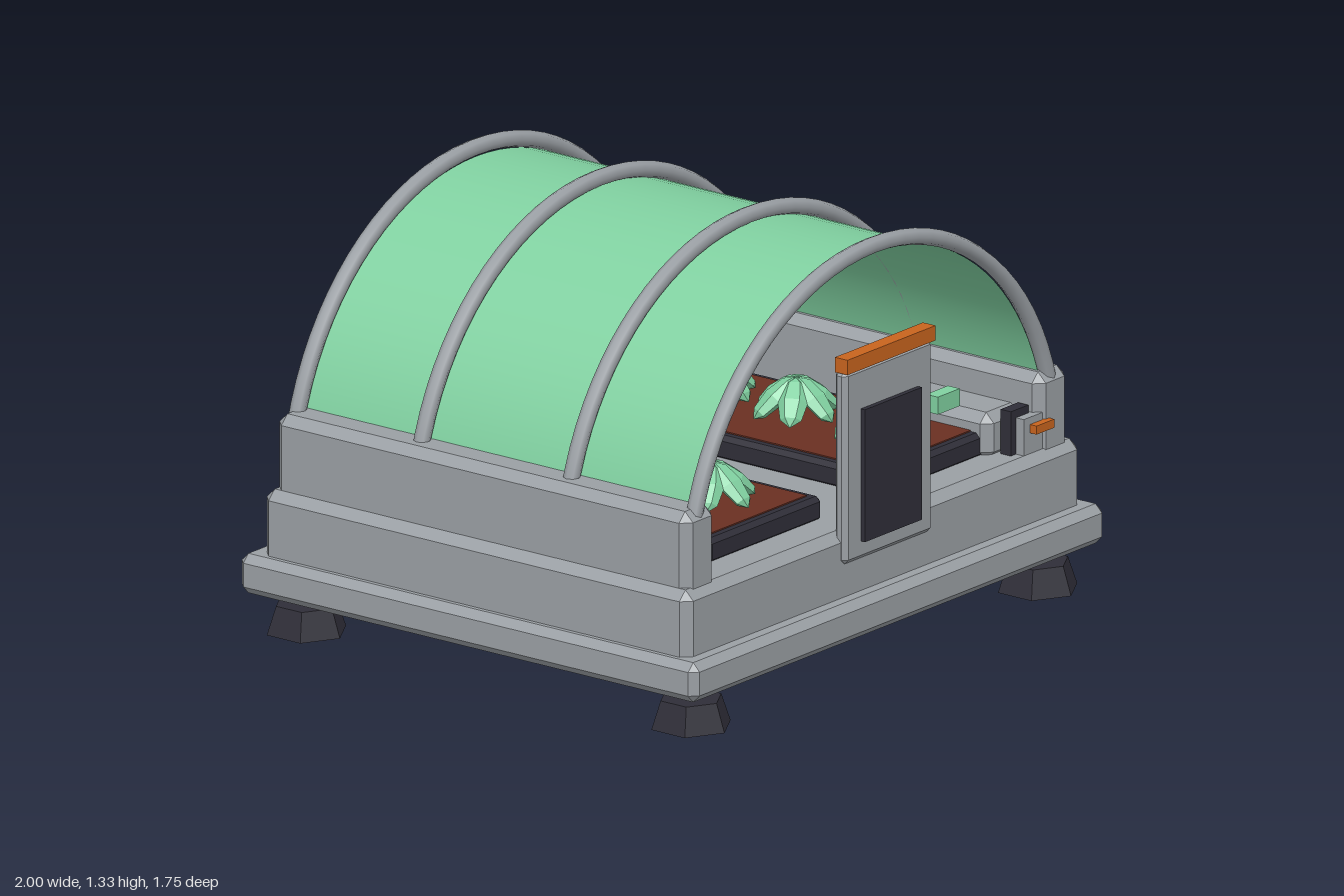
import * as THREE from 'three';
import { ConvexGeometry } from 'three/addons/geometries/ConvexGeometry.js';

const material = (name, color, extra = {}) => {
  const m = new THREE.MeshStandardMaterial({ color, ...extra });
  m.name = name;
  return m;
};

export function createModel() {
  const grey = material('grey metal', 0x9a9fa4);
  const dark = material('charcoal', 0x2f2e38);
  const green = material('green', 0x80d0a0, { side: THREE.DoubleSide });
  const leafGreen = material('leaf green', 0x80d0a0, { flatShading: true });
  const orange = material('orange', 0xc8641e);
  const soilBrown = material('soil brown', 0x6a3022);

  const model = new THREE.Group();
  model.name = 'greenhouse';

  const add = (name, geometry, mat, parent = model) => {
    const mesh = new THREE.Mesh(geometry, mat);
    mesh.name = name;
    parent.add(mesh);
    return mesh;
  };

  // Box given by its ranges, with all edges chamfered by c
  const box = (name, mat, [x0, x1], [y0, y1], [z0, z1], c = 0) => {
    const half = new THREE.Vector3(x1 - x0, y1 - y0, z1 - z0).multiplyScalar(0.5);
    let geometry;
    if (c) {
      const points = [];
      for (const sx of [-1, 1]) for (const sy of [-1, 1]) for (const sz of [-1, 1]) {
        const { x, y, z } = half;
        points.push(
          new THREE.Vector3(sx * x, sy * (y - c), sz * (z - c)),
          new THREE.Vector3(sx * (x - c), sy * y, sz * (z - c)),
          new THREE.Vector3(sx * (x - c), sy * (y - c), sz * z));
      }
      geometry = new ConvexGeometry(points);
    } else {
      geometry = new THREE.BoxGeometry(half.x * 2, half.y * 2, half.z * 2);
    }
    const mesh = add(name, geometry, mat);
    mesh.position.set((x0 + x1) / 2, (y0 + y1) / 2, (z0 + z1) / 2);
    return mesh;
  };

  // Base slab, raised bed body and side walls
  box('baseSlab', grey, [-1, 1], [0.13, 0.255], [-0.875, 0.875], 0.025);
  box('bedBody', grey, [-0.96, 0.96], [0.22, 0.46], [-0.815, 0.815], 0.03);
  for (const s of [-1, 1]) {
    const xs = [s * 0.78, s * 0.93].sort((a, b) => a - b);
    box('sideWall', grey, xs, [0.4, 0.695], [-0.79, 0.79], 0.03);
  }

  // Six-sided feet on short stems
  const padGeo = new THREE.CylinderGeometry(0.098, 0.128, 0.088, 6).toNonIndexed();
  padGeo.computeVertexNormals();
  const stemGeo = new THREE.CylinderGeometry(0.036, 0.036, 0.08, 10);
  for (const x of [-0.84, 0.84]) for (const z of [-0.735, 0.735]) {
    add('footPad', padGeo, dark).position.set(x, 0.044, z);
    add('footStem', stemGeo, grey).position.set(x, 0.115, z);
  }

  // Arched ribs
  class Arch extends THREE.Curve {
    getPoint(t, target = new THREE.Vector3()) {
      const a = Math.PI * t;
      return target.set(0.888 * Math.cos(a), 0.44 + 0.863 * Math.sin(a), 0);
    }
  }
  const ribGeo = new THREE.TubeGeometry(new Arch(), 40, 0.026, 8);
  for (const z of [-0.76, -0.286, 0.286, 0.76]) add('rib', ribGeo, grey).position.z = z;

  // Thin curved cover, open at both ends
  const coverGeo = new THREE.CylinderGeometry(1, 1, 1.5, 48, 1, true, -Math.PI / 2, Math.PI);
  coverGeo.rotateX(-Math.PI / 2);
  coverGeo.scale(0.862, 0.838, 1);
  add('cover', coverGeo, green).position.y = 0.44;

  // Planting trays with rows of leafy plants
  const leafGeo = new THREE.SphereGeometry(1, 6, 4);
  leafGeo.scale(0.046, 0.088, 0.028);
  leafGeo.rotateX(2.3);
  leafGeo.translate(0, 0.075, 0.073);
  for (const s of [-1, 1]) {
    const range = (a, b) => [s * a, s * b].sort((p, q) => p - q);
    box('tray', dark, range(0.13, 0.68), [0.45, 0.53], [-0.68, 0.68], 0.015);
    box('soil', soilBrown, range(0.165, 0.645), [0.5, 0.534], [-0.645, 0.645]);
    for (const z of [-0.47, -0.16, 0.16, 0.47]) {
      const plant = new THREE.Group();
      plant.name = 'plant';
      plant.position.set(s * 0.4, 0.53, z);
      for (let i = 0; i < 6; i++) add('leaf', leafGeo, leafGreen, plant).rotation.y = i * Math.PI / 3;
      model.add(plant);
    }
  }

  // Front control panel
  box('panelPlate', grey, [-0.215, 0.212], [0.36, 0.97], [0.785, 0.832], 0.015);
  box('panelScreen', dark, [-0.14, 0.137], [0.42, 0.838], [0.82, 0.848]);
  box('panelCap', orange, [-0.215, 0.212], [0.965, 1.012], [0.792, 0.84]);
  box('indicator', green, [0.23, 0.336], [0.725, 0.78], [0.79, 0.835]);

  // Vent housing through the left wall, and the latch beside it
  box('ventCover', grey, [0.88, 0.943], [0.42, 0.565], [0.264, 0.717], 0.015);
  box('ventHousing', grey, [0.63, 0.82], [0.44, 0.59], [0.27, 0.71], 0.03);
  box('latchBack', dark, [0.685, 0.77], [0.45, 0.6], [0.715, 0.755]);
  box('latchPlate', grey, [0.71, 0.8], [0.45, 0.575], [0.75, 0.785]);
  box('latchHandle', orange, [0.74, 0.826], [0.525, 0.552], [0.78, 0.81]);

  return model;
}
